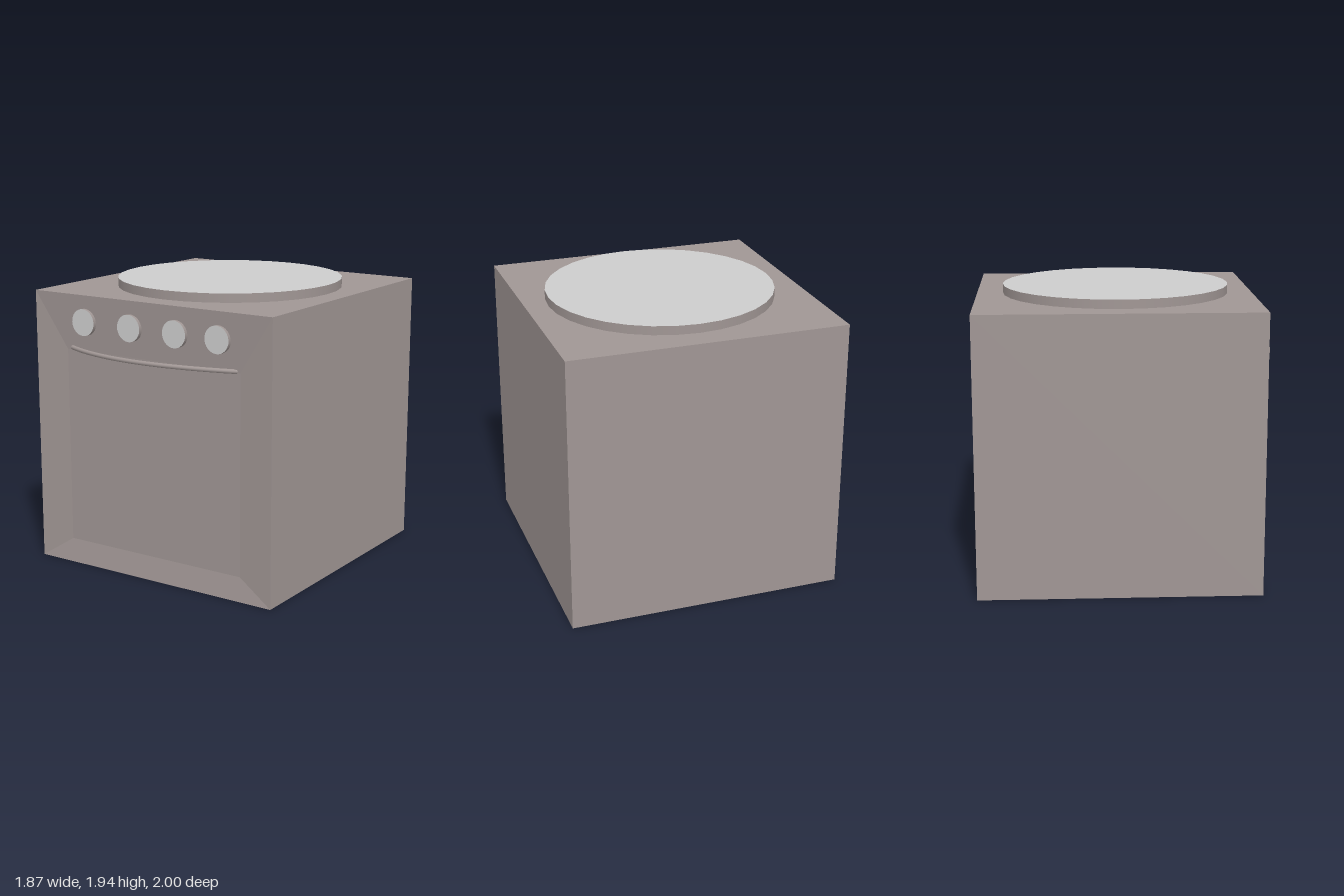
import * as THREE from 'three';

const enamel = new THREE.MeshStandardMaterial({ color: 0xa09694 });
enamel.name = 'taupe enamel';
const plate = new THREE.MeshStandardMaterial({ color: 0xcccccc });
plate.name = 'light grey';

function addMesh(parent, name, geometry, material) {
  const mesh = new THREE.Mesh(geometry, material);
  mesh.name = name;
  parent.add(mesh);
  return mesh;
}

// Rectangle corners, counter-clockwise seen from the front
const rect = (x0, x1, y0, y1, z) => [[x0, y0, z], [x1, y0, z], [x1, y1, z], [x0, y1, z]];

// Cabinet: back, front and recessed rectangles joined by rings of quads
function cabinetGeometry() {
  const loops = [
    rect(-0.937, 0.937, 0, 1.88, -1),
    rect(-0.937, 0.937, 0, 1.88, 0.875),
    rect(-0.69, 0.69, 0.16, 1.5, 0.85),
  ];
  const pos = [];
  const quad = (a, b, c, d) => pos.push(...a, ...b, ...c, ...a, ...c, ...d);
  for (let l = 0; l < 2; l++) {
    for (let i = 0; i < 4; i++) {
      const j = (i + 1) % 4;
      quad(loops[l][i], loops[l][j], loops[l + 1][j], loops[l + 1][i]);
    }
  }
  quad(...loops[2]);
  quad(...[...loops[0]].reverse());
  const g = new THREE.BufferGeometry();
  g.setAttribute('position', new THREE.Float32BufferAttribute(pos, 3));
  g.computeVertexNormals();
  return g;
}

export function createModel() {
  const model = new THREE.Group();
  model.name = 'stove';
  addMesh(model, 'cabinet', cabinetGeometry(), enamel);

  // Round hotplate: dark rim, light top
  const hotplate = addMesh(model, 'hotplate',
    new THREE.CylinderGeometry(0.77, 0.77, 0.08, 32), [enamel, plate, enamel]);
  hotplate.position.set(0.015, 1.9, -0.055);

  // Control knobs
  [-0.525, -0.15, 0.21, 0.537].forEach((x, i) => {
    const knob = addMesh(model, 'knob' + (i + 1),
      new THREE.CylinderGeometry(0.09, 0.09, 0.05, 32), [enamel, plate, enamel]);
    knob.rotation.x = Math.PI / 2;
    knob.position.set(x, 1.7, 0.864);
  });

  // Bowed oven handle
  const bow = new THREE.QuadraticBezierCurve3(
    new THREE.Vector3(-0.642, 1.515, 0.855),
    new THREE.Vector3(-0.1, 1.512, 1.12),
    new THREE.Vector3(0.658, 1.506, 0.845));
  addMesh(model, 'handle', new THREE.TubeGeometry(bow, 32, 0.015, 10), enamel);
  bow.getPoints(1).forEach((p, i) => {
    const cap = addMesh(model, 'handleEnd' + (i + 1), new THREE.SphereGeometry(0.015, 10, 8), enamel);
    cap.position.copy(p);
  });

  return model;
}
